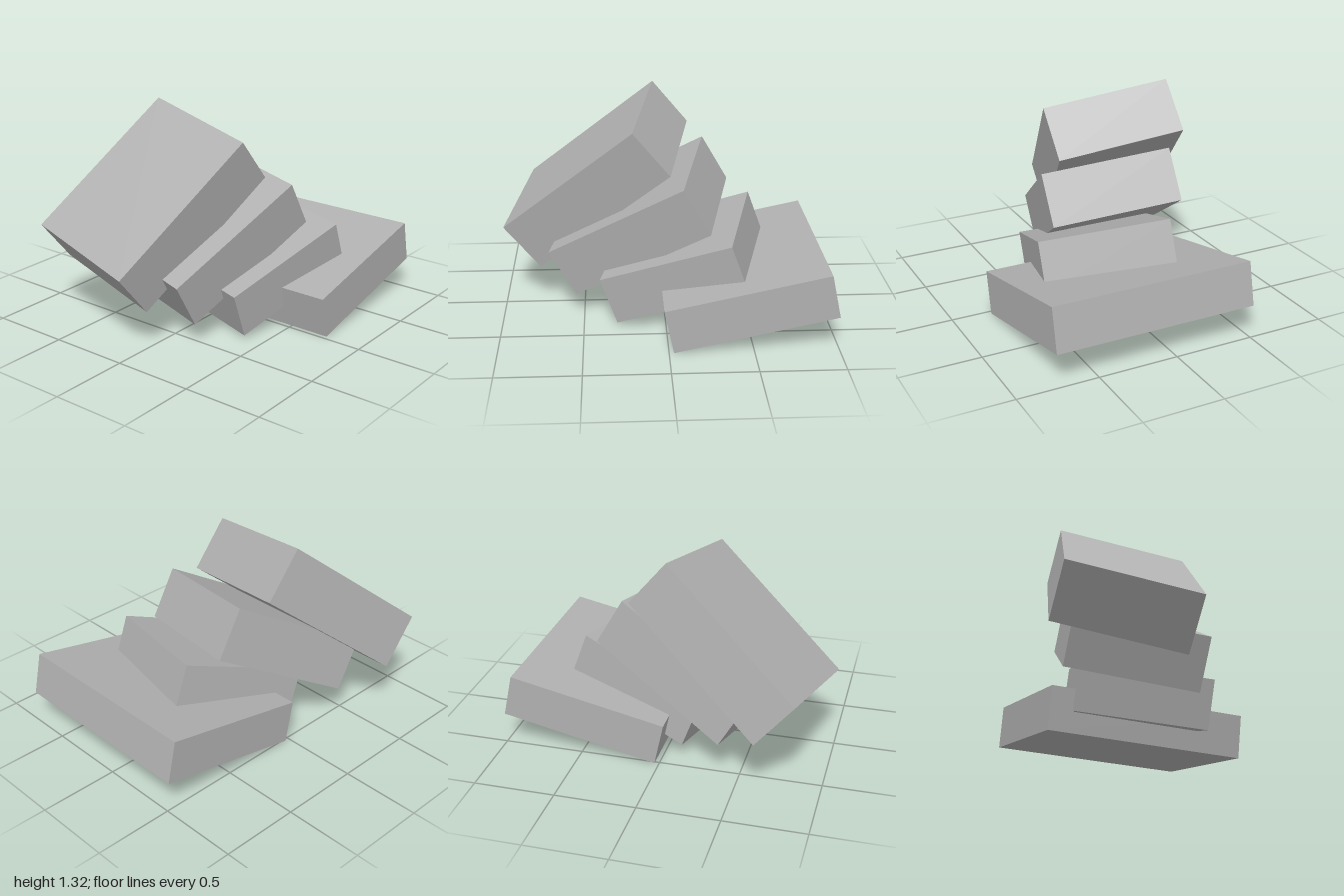
import * as THREE from 'three';

export function createModel() {
  const group = new THREE.Group();
  group.name = 'tumblingSlabs';
  const grey = new THREE.MeshStandardMaterial({ color: 0xb0b0b0 });
  grey.name = 'stoneGrey';

  // A slab yawed about its own vertical, then rolled about z
  function addSlab(name, size, position, rollDeg, yawDeg) {
    const slab = new THREE.Mesh(new THREE.BoxGeometry(...size), grey);
    slab.name = name;
    slab.position.set(...position);
    slab.rotation.set(
      0,
      THREE.MathUtils.degToRad(yawDeg),
      THREE.MathUtils.degToRad(rollDeg),
      'ZYX'
    );
    group.add(slab);
  }

  // Wide base slab
  addSlab('baseSlab', [0.99, 0.27, 1.27], [0.485, 0.237, 0.12], 12, 0);

  // Three fanned slabs, each longer, thicker and steeper than the one below
  const names = ['lowerSlab', 'middleSlab', 'upperSlab'];
  names.forEach((name, i) => {
    addSlab(
      name,
      [0.85 + 0.117 * i, 0.304 + 0.024 * i, 0.8],
      [0.13 - 0.27 * i, 0.338 + 0.223 * i, 0.09 - 0.165 * i],
      20 + 10 * i,
      -14
    );
  });

  return group;
}
